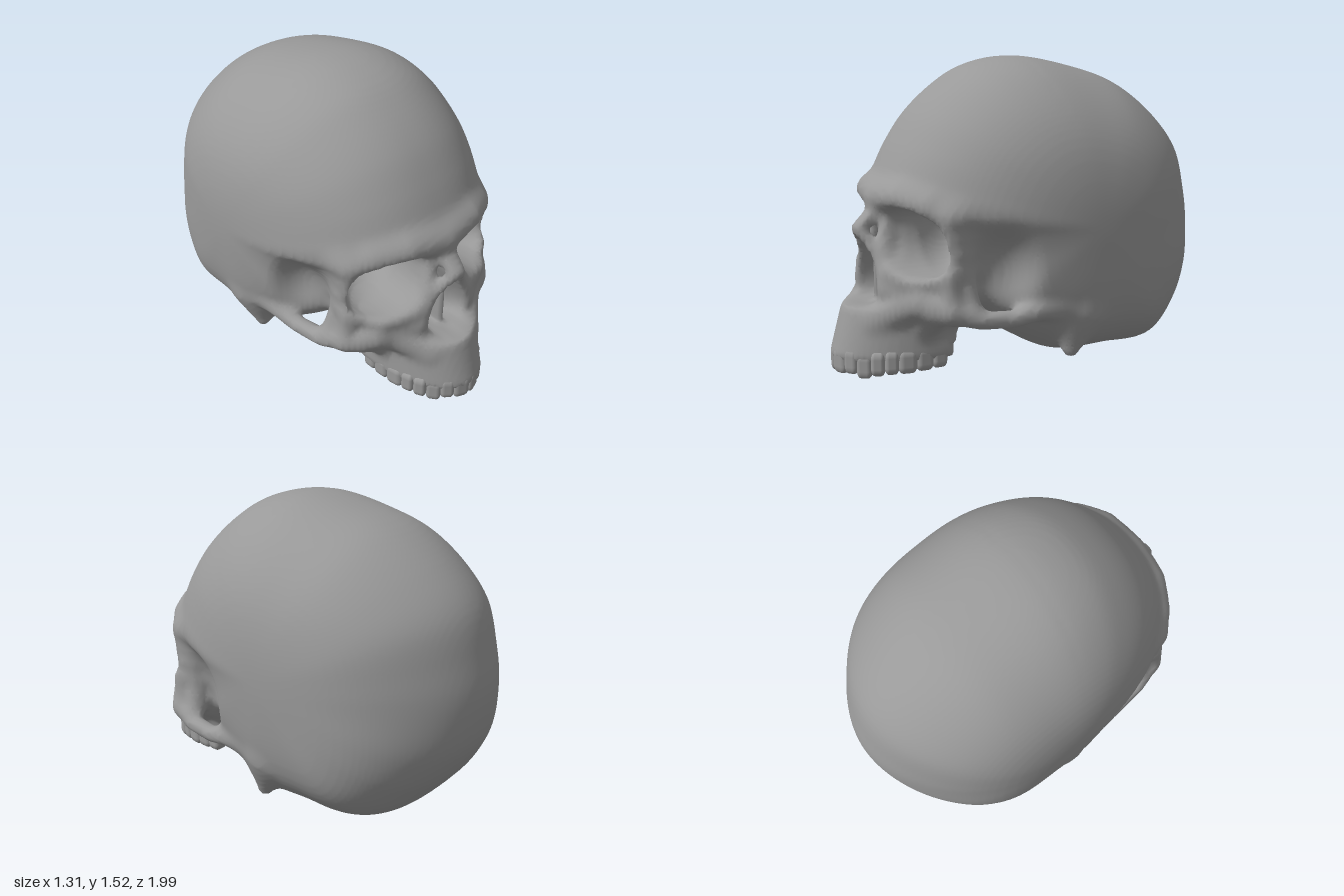
import * as THREE from 'three';
import { RoundedBoxGeometry } from 'three/addons/geometries/RoundedBoxGeometry.js';

const material = new THREE.MeshStandardMaterial({ color: 0x999999 });
const { min, max, abs, hypot, PI } = Math;
const { smoothstep, clamp } = THREE.MathUtils;

// Smooth union and smooth intersection of two distance fields
const blend = (a, b, k) => {
  const h = max(k - abs(a - b), 0) / k;
  return min(a, b) - h * h * k / 4;
};
const cut = (a, b, k) => -blend(-a, -b, k);

// Chain of tapered rounded bars, each point is [x, y, z, radius]
function bars(points, x, y, z) {
  let d = Infinity;
  for (let i = 0; i + 1 < points.length; i++) {
    const [ax, ay, az, ar] = points[i], [bx, by, bz, br] = points[i + 1];
    const ux = bx - ax, uy = by - ay, uz = bz - az;
    const dot = (x - ax) * ux + (y - ay) * uy + (z - az) * uz;
    const t = clamp(dot / (ux * ux + uy * uy + uz * uz), 0, 1);
    d = min(d, hypot(x - ax - ux * t, y - ay - uy * t, z - az - uz * t) - ar - (br - ar) * t);
  }
  return d;
}

// Side outline of the braincase as [z, y], kept as a radius for every degree
const CZ = -0.15, CY = 0.72;
const outline = [
  [0.03, 1.52], [0.25, 1.475], [0.4, 1.385], [0.545, 1.25], [0.645, 1.1], [0.705, 0.98], [0.745, 0.89],
  [0.74, 0.81], [0.62, 0.7], [0.48, 0.52], [0.36, 0.33], [0.2, 0.19], [0.05, 0.09], [-0.07, 0.035],
  [-0.35, 0.03], [-0.65, 0.04], [-0.83, 0.2], [-0.92, 0.33], [-0.975, 0.46], [-1, 0.68],
  [-0.97, 0.86], [-0.9, 1.08], [-0.75, 1.25], [-0.52, 1.4], [-0.28, 1.475],
];
const radii = new Float32Array(360);
new THREE.CatmullRomCurve3(outline.map(([z, y]) => new THREE.Vector3(z, y, 0)), true)
  .getPoints(4000)
  .forEach((p) => {
    const degree = Math.round(Math.atan2(p.y - CY, p.x - CZ) * 180 / PI + 360) % 360;
    radii[degree] = hypot(p.x - CZ, p.y - CY);
  });

const mastoid = [[0.5, 0.28, -0.1, 0.11], [0.495, 0.1, -0.06, 0.04]];

// Braincase: the side outline swelled sideways, with the mastoid behind the ear
function cranium(x, y, z) {
  const a = (Math.atan2(y - CY, z - CZ) * 180 / PI + 360) % 360;
  const i = Math.floor(a) % 360, f = a - Math.floor(a);
  const q = hypot(y - CY, z - CZ) / (radii[i] * (1 - f) + radii[(i + 1) % 360] * f);
  // squarer towards the base, rounder at the crown and the back
  const back = smoothstep(-z, 0.4, 1), low = smoothstep(CY - y, 0, 0.5);
  const n = 2.3 + low * (1 - 0.7 * back) - 0.12 * smoothstep(y, 1, 1.4) - 0.35 * back;
  const d = (Math.pow(Math.pow(x / 0.655, n) + Math.pow(q, n), 1 / n) - 1) * 0.7;
  return blend(d, bars(mastoid, x, y, z), 0.06);
}

const faceBars = [
  // brow ridge
  [[0, 0.845, 0.742, 0.055], [0.2, 0.86, 0.71, 0.05], [0.35, 0.83, 0.63, 0.045], [0.43, 0.77, 0.56, 0.04]],
  // nasal bone and sides of the nose
  [[0.015, 0.81, 0.72, 0.04], [0.012, 0.7, 0.84, 0.032], [0.1, 0.52, 0.75, 0.04]],
  [[0.05, 0.78, 0.7, 0.045], [0.1, 0.6, 0.74, 0.045], [0.15, 0.42, 0.75, 0.045]],
  [[0, 0.34, 0.86, 0.03], [0, 0.36, 0.945, 0.014]],
  // inner wall of the eye socket
  [[0.04, 0.78, 0.6, 0.07], [0.07, 0.66, 0.62, 0.075], [0.1, 0.54, 0.62, 0.07]],
  // lower rim of the eye socket
  [[0.18, 0.51, 0.74, 0.04], [0.32, 0.48, 0.68, 0.04], [0.43, 0.51, 0.57, 0.04]],
  // cheekbone and outer rim of the eye socket
  [[0.34, 0.38, 0.65, 0.07], [0.44, 0.36, 0.56, 0.06], [0.43, 0.53, 0.56, 0.045], [0.43, 0.78, 0.56, 0.04]],
  [[0.46, 0.37, 0.46, 0.05], [0.42, 0.54, 0.48, 0.045], [0.43, 0.78, 0.49, 0.04]],
  // front of the upper jaw, running out to the cheekbone
  [[0.13, 0.27, 0.81, 0.055], [0.28, 0.36, 0.67, 0.06]],
  [[0.24, 0.24, 0.6, 0.06], [0.39, 0.345, 0.6, 0.06]],
  // outer wall of the eye socket
  ...[0.54, 0.62, 0.7, 0.78].map((y) => [[0.43, y, 0.52, 0.04], [0.36, y, 0.37, 0.05]]),
  // bone wings behind the palate
  [[0.14, 0.32, 0.42, 0.05], [0.17, 0.24, 0.38, 0.03]],
];

function face(x, y, z) {
  // middle of the face
  let d = (hypot(x / 0.42, (y - 0.42) / 0.25, (z - 0.5) / (z > 0.5 ? 0.32 : 0.25)) - 1) * 0.28;
  // horseshoe that carries the teeth
  const front = max(0, z - 0.5), depth = 0.49 - (y - 0.1) * 0.28;
  const shoe = max((hypot(x / 0.28, front / depth) - 1) * 0.3, 0.46 - z);
  d = blend(d, cut(shoe, max(0.075 - y, y - 0.34), 0.03), 0.06);
  for (const chain of faceBars) d = blend(d, bars(chain, x, y, z), 0.045);
  return d;
}

const archPath = [
  [0.45, 0.345, 0.56, 0.05], [0.5, 0.31, 0.44, 0.043], [0.522, 0.3, 0.28, 0.042],
  [0.54, 0.33, 0.14, 0.048], [0.54, 0.33, 0, 0.05],
];
const cheekArches = (x, y, z) => bars(archPath, x, y, z);

// Hollows: eye sockets, nose opening with its septum, and palate
function hollows(x, y, z) {
  const dz = min(0, z - 0.58);
  const ex = abs(x - 0.285 - 0.45 * dz + 0.2 * (y - 0.665)) / 0.163;
  const ey = abs(y - 0.665 + 0.1 * (x - 0.28)) / 0.153;
  const socket = (Math.pow(ex ** 2.3 + ey ** 2.3 + (abs(dz) / 0.25) ** 2.3, 1 / 2.3) - 1) * 0.15;

  const t = clamp((y - 0.335) / 0.32, 0, 1);
  const width = (0.02 + 0.105 * Math.sin(PI * Math.sqrt(t)) ** 0.8) * (0.35 + 0.65 * smoothstep(z, 0.55, 0.8));
  const pear = max(x - width, abs(y - 0.495) - 0.16, 0.58 - z);
  const nose = max(pear, min(0.016 - x, 0.77 - z));

  const palate = max((hypot(x / 0.17, (y - 0.05) / 0.15, max(0, z - 0.5) / 0.36) - 1) * 0.15, 0.3 - z);
  return min(socket, nose, palate);
}

// Dip in the temple behind the eye socket
const temple = (x, y, z) => (hypot((x - 0.57) / 0.14, (y - 0.52) / 0.18, (z - 0.33) / 0.13) - 1) * 0.14;

const boneParts = { cranium, face, cheekArches };

function bone(x, y, z) {
  const head = cut(blend(cranium(x, y, z), face(x, y, z), 0.08), -temple(x, y, z), 0.08);
  return blend(cut(head, -hollows(x, y, z), 0.025), cheekArches(x, y, z), 0.04);
}

// Skin the bone field with quads, then hand each face to its nearest part
function buildBones() {
  const step = 0.02, size = [73, 83, 107], origin = [-0.72, -0.05, -1.06];
  const stride = [1, size[0], size[0] * size[1]];
  const values = new Float32Array(stride[2] * size[2]).fill(1);
  const at = (i, j, k) => i + j * stride[1] + k * stride[2];
  const eachCell = (visit) => {
    for (let k = 1; k < size[2] - 1; k++)
      for (let j = 1; j < size[1] - 1; j++)
        for (let i = 1; i < size[0] - 1; i++) visit(i, j, k, at(i, j, k));
  };
  eachCell((i, j, k, n) => {
    values[n] = bone(abs(origin[0] + i * step), origin[1] + j * step, origin[2] + k * step);
  });

  // one vertex in every cell the surface crosses
  const vertexOf = new Int32Array(values.length).fill(-1), positions = [];
  eachCell((i, j, k, n) => {
    const sum = [0, 0, 0];
    let count = 0;
    for (let c = 0; c < 8; c++) for (let a = 0; a < 3; a++) {
      if (c & (1 << a)) continue;
      const corner = [c & 1, (c >> 1) & 1, (c >> 2) & 1];
      const m = n + at(...corner), v = values[m], w = values[m + stride[a]];
      if ((v < 0) === (w < 0)) continue;
      corner[a] = v / (v - w);
      corner.forEach((s, b) => { sum[b] += s; });
      count++;
    }
    if (!count) return;
    vertexOf[n] = positions.length / 3;
    [i, j, k].forEach((g, b) => positions.push(origin[b] + (g + sum[b] / count) * step));
  });

  // one quad around every grid edge the surface crosses
  const index = [];
  eachCell((i, j, k, n) => {
    for (let a = 0; a < 3; a++) {
      const inside = values[n] < 0;
      if (inside === (values[n + stride[a]] < 0)) continue;
      const b = stride[(a + 1) % 3], c = stride[(a + 2) % 3];
      const quad = [n, n - b, n - b - c, n - c].map((m) => vertexOf[m]);
      if (!inside) quad.reverse();
      index.push(quad[0], quad[1], quad[2], quad[0], quad[2], quad[3]);
    }
  });
  const whole = new THREE.BufferGeometry();
  whole.setAttribute('position', new THREE.Float32BufferAttribute(positions, 3));
  whole.setIndex(index);
  whole.computeVertexNormals();

  const fields = Object.values(boneParts), lists = fields.map(() => []);
  for (let q = 0; q < index.length; q += 6) {
    const [x, y, z] = positions.slice(index[q] * 3, index[q] * 3 + 3);
    const distances = fields.map((field) => field(abs(x), y, z));
    lists[distances.indexOf(min(...distances))].push(...index.slice(q, q + 6));
  }
  return Object.keys(boneParts).map((name, p) => {
    const mesh = new THREE.Mesh(whole.clone().setIndex(lists[p]), material);
    mesh.name = name;
    return mesh;
  });
}

// Upper teeth along the horseshoe, mirrored left and right
function buildTeeth() {
  const teeth = new THREE.Group();
  teeth.name = 'upperTeeth';
  const row = new THREE.CatmullRomCurve3([[0, 0.966], [0.1, 0.92], [0.178, 0.82], [0.222, 0.68], [0.235, 0.5]]
    .map(([x, z]) => new THREE.Vector3(x, 0, z)));
  const crown = new RoundedBoxGeometry(1, 1, 1, 3, 0.3);
  const widths = [0.085, 0.07, 0.075, 0.07, 0.07, 0.095, 0.09, 0.08];
  const bottoms = [0.01, 0.018, 0, 0.015, 0.02, 0.02, 0.025, 0.03];
  const total = widths.reduce((a, b) => a + b);
  let along = 0;
  widths.forEach((w, i) => {
    const u = (along + w / 2) / total, p = row.getPointAt(u), t = row.getTangentAt(u);
    along += w;
    for (const side of [1, -1]) {
      const tooth = new THREE.Mesh(crown, material);
      tooth.name = 'tooth';
      tooth.scale.set(w / total * row.getLength() * 1.1, 0.12, i < 3 ? 0.06 : 0.085);
      tooth.position.set(side * p.x, bottoms[i] + 0.06, p.z);
      tooth.rotation.y = side * Math.atan2(-t.z, t.x);
      teeth.add(tooth);
    }
  });
  return teeth;
}

export function createModel() {
  const skull = new THREE.Group();
  skull.name = 'skull';
  skull.add(...buildBones(), buildTeeth());
  return skull;
}
